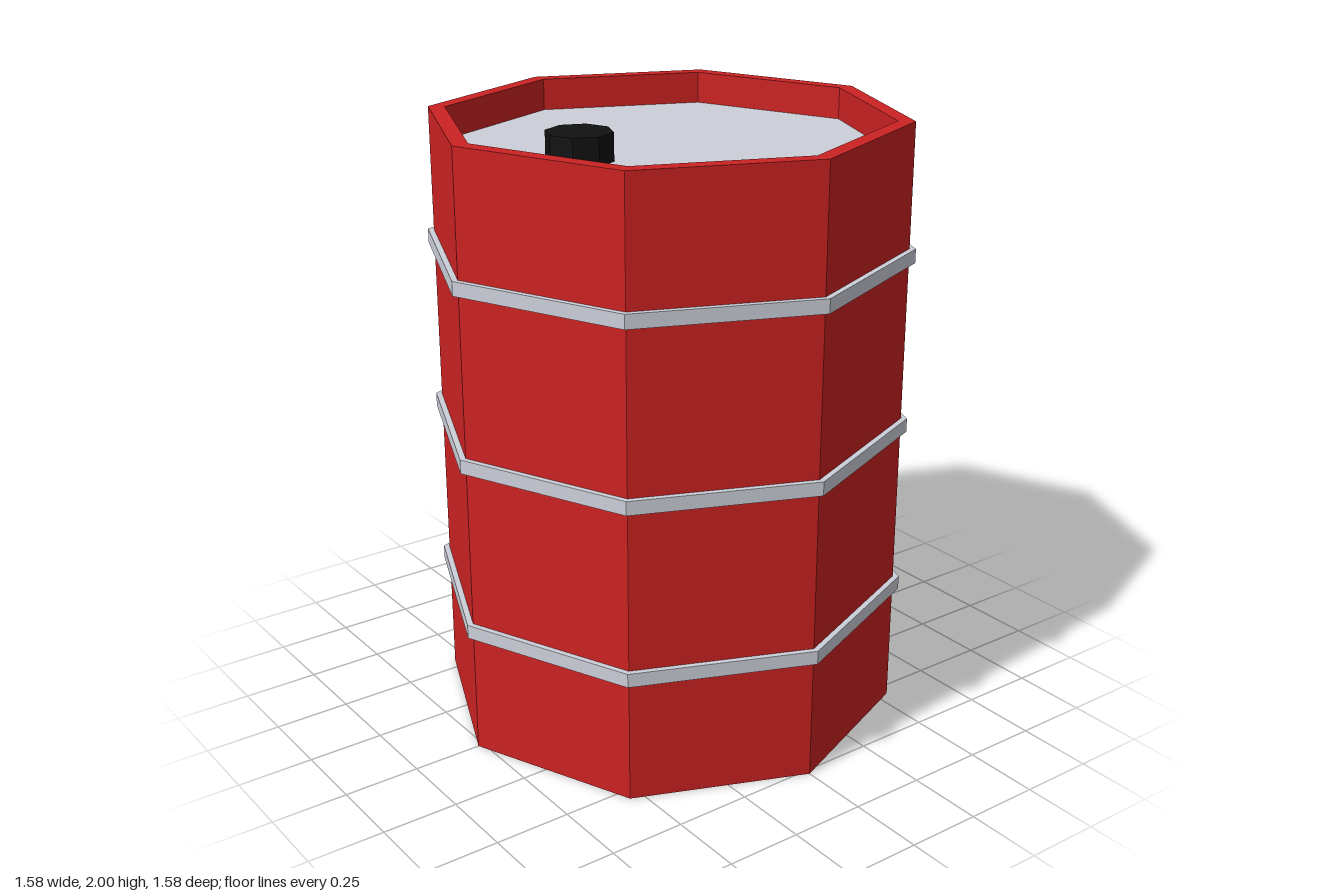
import * as THREE from 'three';

const SIDES = 8;
const RADIUS = 0.77, INNER = 0.715, HEIGHT = 2, LID_Y = 1.895;

const flat = (color) => new THREE.MeshStandardMaterial({ color, flatShading: true });

export function createModel() {
  const group = new THREE.Group();
  const red = flat(0xcc2222), steel = flat(0xcdd0da), black = flat(0x111111);

  const add = (name, geometry, material, x = 0, y = 0, z = 0) => {
    const mesh = new THREE.Mesh(geometry, material);
    mesh.name = name;
    mesh.position.set(x, y, z);
    group.add(mesh);
    return mesh;
  };
  // Eight-sided ring from [radius, height] pairs, outside first
  const ring = (points) =>
    new THREE.LatheGeometry(points.map(([r, y]) => new THREE.Vector2(r, y)), SIDES);

  // Barrel wall with a raised rim around the lid
  add('barrelWall', ring([[RADIUS, 0], [RADIUS, HEIGHT], [INNER, HEIGHT], [INNER, LID_Y]]), red);

  // Recessed lid and flat base
  const disc = (r, tilt) => new THREE.CircleGeometry(r, SIDES).rotateX(tilt);
  add('lid', disc(INNER, -Math.PI / 2), steel, 0, LID_Y);
  add('base', disc(RADIUS, Math.PI / 2), steel);

  // Three steel hoops
  const hoop = ring([[RADIUS - 0.01, -0.023], [0.79, -0.023], [0.79, 0.023], [RADIUS - 0.01, 0.023]]);
  for (const y of [0.43, 1.002, 1.574]) add('hoop', hoop, steel, 0, y);

  // Filler cap near the front of the lid
  const capHeight = 0.09;
  add('fillerCap', new THREE.CylinderGeometry(0.107, 0.107, capHeight, SIDES), black,
    -0.01, LID_Y + capHeight / 2, 0.323);

  return group;
}
